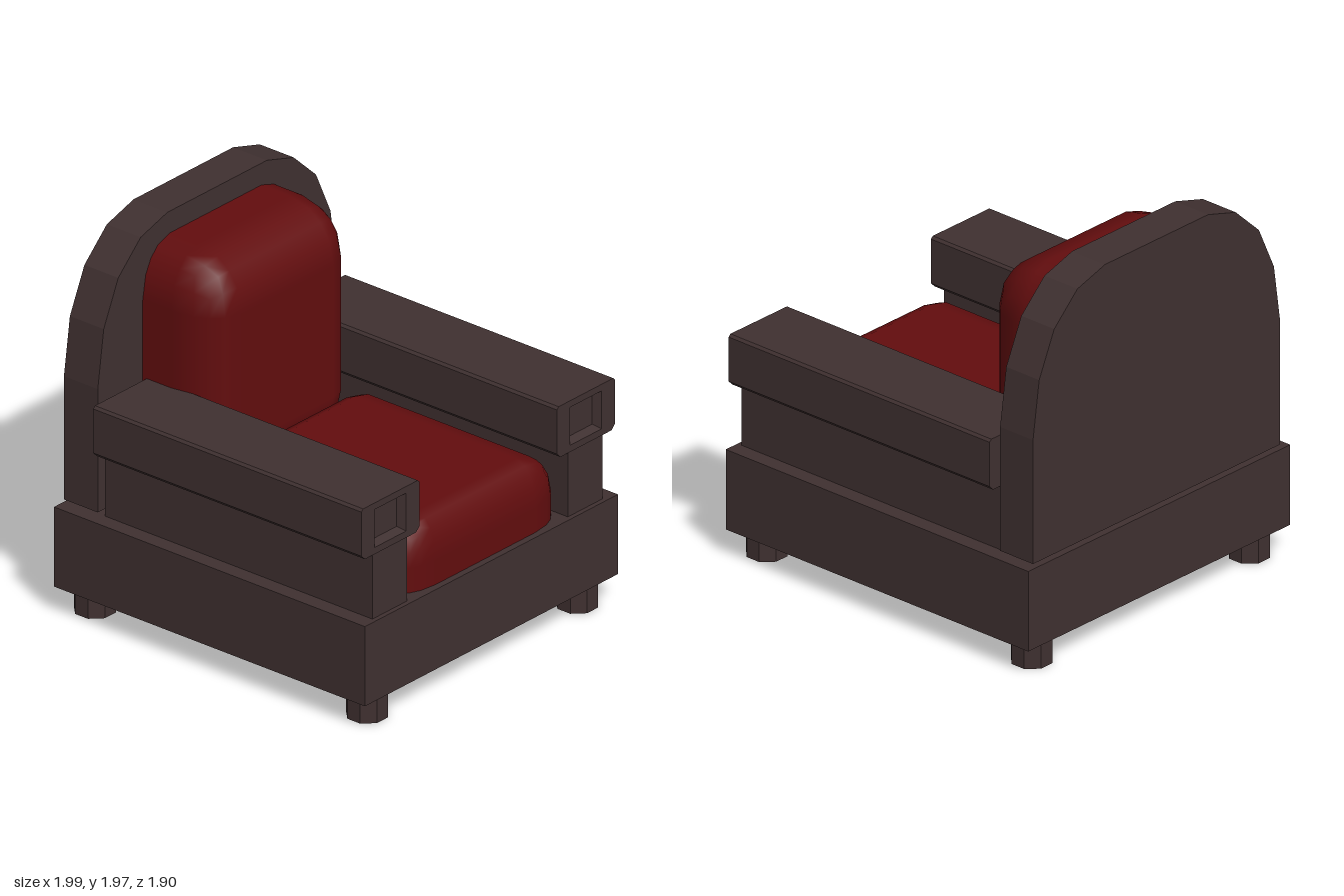
import * as THREE from 'three';
import { RoundedBoxGeometry } from 'three/addons/geometries/RoundedBoxGeometry.js';

export function createModel() {
  const wood = new THREE.MeshStandardMaterial({ color: 0x3f3030, side: THREE.DoubleSide });
  wood.name = 'dark wood';
  const fabric = new THREE.MeshStandardMaterial({ color: 0x620d0e });
  fabric.name = 'red upholstery';

  // The chair faces +x in its own frame and is turned slightly
  const chair = new THREE.Group();
  chair.name = 'armchair';
  chair.rotation.y = 0.036;

  const add = (name, geometry, material, parent = chair) => {
    const mesh = new THREE.Mesh(geometry, material);
    mesh.name = name;
    parent.add(mesh);
    return mesh;
  };
  const box = (x0, x1, y0, y1, z0, z1) =>
    new THREE.BoxGeometry(x1 - x0, y1 - y0, z1 - z0)
      .translate((x0 + x1) / 2, (y0 + y1) / 2, (z0 + z1) / 2);
  // Extrudes a (z, y) outline along x
  const extrudeX = (shape, x0, x1) =>
    new THREE.ExtrudeGeometry(shape, { depth: x1 - x0, bevelEnabled: false })
      .rotateY(Math.PI / 2).translate(x0, 0, 0);
  const outline = (points) => new THREE.Shape(points.map(([z, y]) => new THREE.Vector2(-z, y)));
  // Rounded box with a separate radius for each axis
  const cushion = (min, max, r, segments) => {
    const s = max.map((v, i) => v - min[i]);
    return new RoundedBoxGeometry(s[0] / r[0], s[1] / r[1], s[2] / r[2], segments, 1)
      .scale(...r)
      .translate(...max.map((v, i) => (v + min[i]) / 2));
  };

  // Base and feet
  add('base', box(-0.965, 0.965, 0.14, 0.56, -0.915, 0.915), wood);
  for (const x of [-0.845, 0.845]) {
    for (const z of [-0.76, 0.76]) {
      const foot = new THREE.CylinderGeometry(0.104, 0.104, 0.14, 8).toNonIndexed();
      foot.computeVertexNormals();
      foot.rotateY(Math.PI / 8).translate(x, 0.07, z);
      add('foot', foot, wood);
    }
  }

  // Arched backrest
  const half = [[0.863, 0.58], [0.863, 1.23], [0.82, 1.53], [0.715, 1.76], [0.553, 1.912], [0.36, 1.97]];
  const arch = [...half, ...half.map(([z, y]) => [-z, y]).reverse()];
  add('backrest', extrudeX(outline(arch), -0.955, -0.745).translate(0, 0, -0.008), wood);

  // Cushions; the rear of the back cushion is flattened inside the backrest
  add('seatCushion', cushion([-0.31, 0.3, -0.57], [0.93, 0.91, 0.57], [0.12, 0.22, 0.21], 2), fabric);
  const back = cushion([-1.12, 0.6, -0.53], [-0.3, 1.855, 0.53], [0.27, 0.28, 0.2], 2);
  const p = back.attributes.position;
  for (let i = 0; i < p.count; i++) p.setX(i, Math.max(p.getX(i), -0.86));
  add('backCushion', back, fabric);

  // Arms: panel below, chamfered rest on top, sunken square in the front end
  const c = 0.025, y0 = 0.9, y1 = 1.17;
  const hw = 0.114, hh = 0.1, recess = 0.04, front = 0.945;
  for (const side of [1, -1]) {
    const arm = new THREE.Group();
    arm.name = side > 0 ? 'leftArm' : 'rightArm';
    arm.position.z = side * 0.707;
    chair.add(arm);
    add('armPanel', box(-0.72, front - 0.005, 0.56, y0 + 0.01, -0.125, 0.125), wood, arm);
    const w = 0.21;
    const rest = () => outline([
      [-w + c, y0], [w - c, y0], [w, y0 + c], [w, y1 - c / 2],
      [w - c / 2, y1], [-w + c / 2, y1], [-w, y1 - c / 2], [-w, y0 + c],
    ]);
    add('armRest', extrudeX(rest(), -0.72, front - recess), wood, arm);
    const rim = rest();
    const cy = (y0 + y1) / 2;
    rim.holes.push(new THREE.Path([[-hw, -hh], [-hw, hh], [hw, hh], [hw, -hh]]
      .map(([z, y]) => new THREE.Vector2(z, cy + y))));
    add('armFront', extrudeX(rim, front - recess, front), wood, arm);
    // Sloping walls of the recess
    const walls = new THREE.CylinderGeometry(Math.SQRT2, 0.8 * Math.SQRT2, recess, 4, 1, true).toNonIndexed();
    walls.computeVertexNormals();
    walls.rotateY(Math.PI / 4).rotateZ(-Math.PI / 2).scale(1, hh, hw)
      .translate(front - recess / 2, cy, 0);
    add('armRecess', walls, wood, arm);
  }

  const model = new THREE.Group();
  model.name = 'model';
  model.add(chair);
  return model;
}
